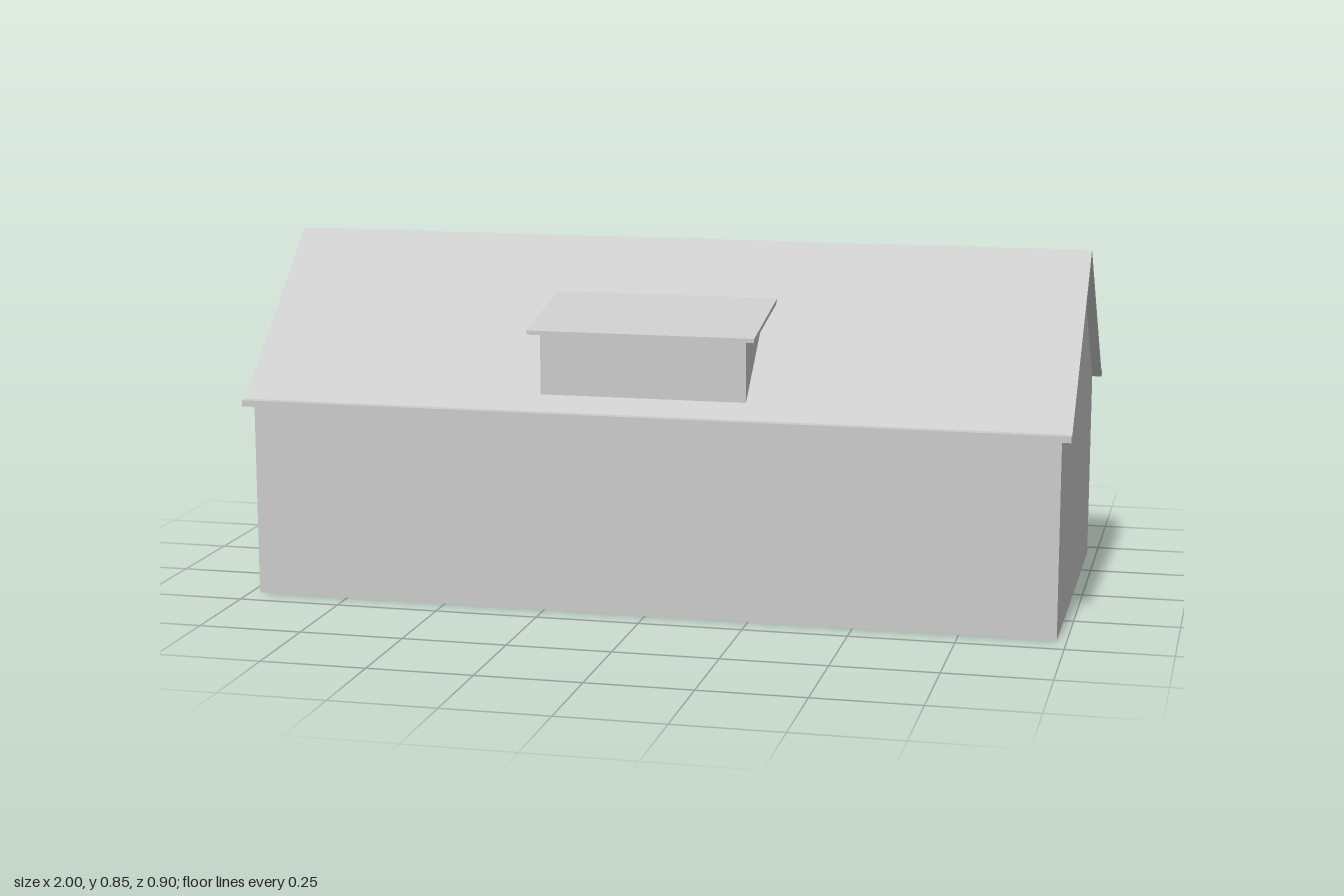
import * as THREE from 'three';

const grey = new THREE.MeshStandardMaterial({ color: 0xcccccc, flatShading: true, side: THREE.DoubleSide });
const RIDGE = 0.853, EAVE = 0.485, HALF = 0.43, THICK = 0.015;
const WALL_X = 0.977, ROOF_X = 1;
const roofTop = (z) => RIDGE - (RIDGE - EAVE) * Math.abs(z) / HALF;

function add(parent, name, geometry, x = 0, y = 0, z = 0) {
  const mesh = new THREE.Mesh(geometry, grey);
  mesh.name = name;
  mesh.position.set(x, y, z);
  parent.add(mesh);
  return mesh;
}

function outline(points, Type = THREE.Shape) {
  return new Type(points.map(([a, b]) => new THREE.Vector2(a, b)));
}

// Corners of a plan rectangle, with z running down the plan
const rect = (x0, x1, z0, z1) => [[x0, -z1], [x1, -z1], [x1, -z0], [x0, -z0]];

// Flat slab cut from a plan outline, then sheared so its top follows topY(z)
function slopedSlab(plan, hole, thickness, topY) {
  const shape = outline(plan);
  if (hole) shape.holes.push(outline(hole, THREE.Path));
  const g = new THREE.ExtrudeGeometry(shape, { depth: thickness, bevelEnabled: false });
  g.rotateX(-Math.PI / 2);
  const p = g.attributes.position;
  for (let i = 0; i < p.count; i++) p.setY(i, p.getY(i) - thickness + topY(p.getZ(i)));
  g.computeVertexNormals();
  return g;
}

// Sheet drawn as [z, y] points, facing along x
function sideSheet(points) {
  return new THREE.ShapeGeometry(outline(points)).rotateY(-Math.PI / 2);
}

function wall(x0, x1, y0, y1) {
  return new THREE.PlaneGeometry(x1 - x0, y1 - y0).translate((x0 + x1) / 2, (y0 + y1) / 2, 0);
}

// One side of the house: long wall, roof slope, gutter and shed dormer
function houseSide(group, s, d) {
  const span = (a, b) => (s > 0 ? [a, b] : [-b, -a]);
  const side = s > 0 ? 'front' : 'back';
  const x0 = -0.265, x1 = 0.235;

  add(group, side + 'Wall', wall(-WALL_X, WALL_X, 0, EAVE - THICK), 0, 0, s * HALF);
  add(group, side + 'RoofSlope', slopedSlab(
    rect(-ROOF_X, ROOF_X, ...span(0, HALF)),
    rect(x0, x1, ...span(d.top + 0.02, d.face)), THICK, roofTop));
  add(group, side + 'Gutter', new THREE.BoxGeometry(2 * ROOF_X, THICK, 0.022),
    0, EAVE - THICK / 2, s * (HALF + 0.011));

  // Dormer
  const dormer = new THREE.Group();
  dormer.name = side + 'Dormer';
  group.add(dormer);
  const slab = 0.01;
  const dormerTop = (z) => d.topY - (d.topY - 0.677) * (Math.abs(z) - d.top) / (d.eave - d.top);
  const wallTop = dormerTop(d.face) - slab;
  add(dormer, 'dormerRoof', slopedSlab(
    rect(-0.29, 0.26, ...span(d.top, d.eave)), null, slab, dormerTop));
  add(dormer, 'dormerFace', wall(x0, x1, roofTop(d.face), wallTop), 0, 0, s * d.face);
  const inner = d.top + 0.014;
  for (const x of [x0, x1]) {
    add(dormer, 'dormerCheek', sideSheet([
      [s * d.face, roofTop(d.face)], [s * d.face, wallTop], [s * inner, dormerTop(inner) - slab],
    ]), x);
  }
}

export function createModel() {
  const group = new THREE.Group();
  group.name = 'house';

  // Gable ends, open underneath
  const gable = [[-HALF, 0], [HALF, 0], [HALF, EAVE - THICK], [0, RIDGE - THICK], [-HALF, EAVE - THICK]];
  add(group, 'leftGable', sideSheet(gable), WALL_X);
  add(group, 'rightGable', sideSheet(gable), -WALL_X);

  houseSide(group, 1, { top: 0.14, topY: 0.732, face: 0.39, eave: 0.42 });
  houseSide(group, -1, { top: 0.135, topY: 0.737, face: 0.41, eave: 0.44 });
  return group;
}
